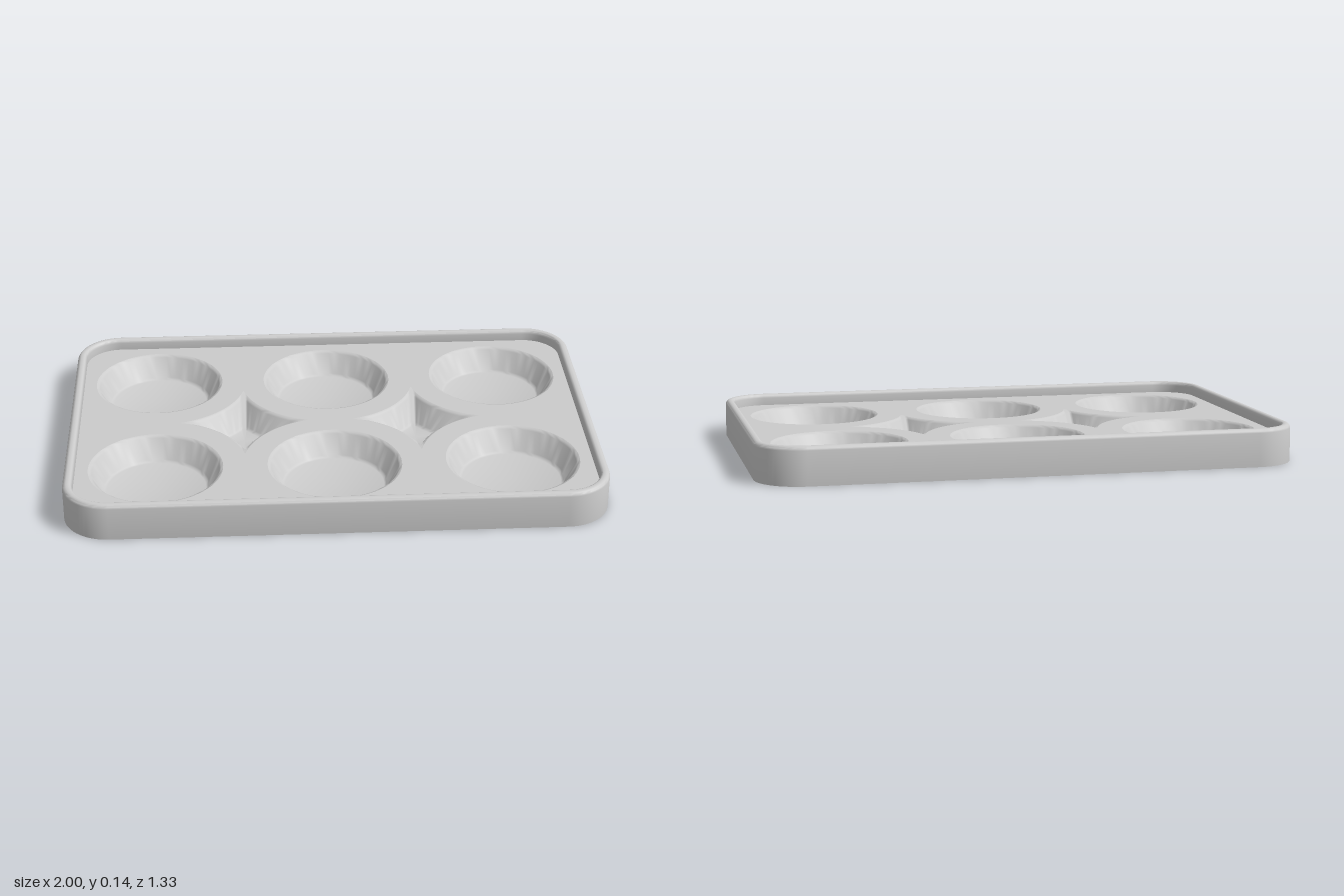
import * as THREE from 'three';
import { toCreasedNormals } from 'three/addons/utils/BufferGeometryUtils.js';

const HALF_X = 1, HALF_Z = 0.667, CORNER = 0.17;
const PLATE_Y = 0.097, DEPTH = 0.09;
const PITCH = 0.667, C = PITCH / 2;
const CUP_R = 0.251, STAR_R = 0.344;
// Side of every pocket, rounded at lip and floor: [run, fraction of depth]
const SIDE = [[0, 0], [0.008, 0.03], [0.014, 0.1], [0.052, 0.9], [0.058, 0.97], [0.066, 1]];
const material = new THREE.MeshStandardMaterial({ color: 0xcccccc, side: THREE.DoubleSide });

// Closed ring of a rounded rectangle, inset from the outer outline
function rectRing(inset) {
  const r = CORNER - inset, n = 16, pts = [];
  for (let q = 0; q < 4; q++) {
    const sx = q === 0 || q === 3 ? 1 : -1, sz = q < 2 ? 1 : -1;
    for (let i = 0; i <= n; i++) {
      const a = (q + i / n) * Math.PI / 2;
      pts.push([sx * (HALF_X - CORNER) + r * Math.cos(a), sz * (HALF_Z - CORNER) + r * Math.sin(a)]);
    }
  }
  return pts;
}

// Four-pointed star whose sides are arcs concentric with the four cups around it
function starRing(radius) {
  const tip = C - Math.sqrt(radius * radius - C * C), n = 16, pts = [];
  const half = Math.atan2(-C, tip - C) + Math.PI * 0.75;
  for (let q = 0; q < 4; q++) {
    const c = Math.round(Math.cos(q * Math.PI / 2)), s = Math.round(Math.sin(q * Math.PI / 2));
    for (let i = 0; i < n; i++) {
      const a = -Math.PI * 0.75 + half * (1 - 2 * i / n);
      const x = C + radius * Math.cos(a), z = C + radius * Math.sin(a);
      pts.push([x * c - z * s, x * s + z * c]);
    }
  }
  return pts;
}

// Skin a stack of rings, each given as { pts, y }
function loft(rings, creaseAngle) {
  const n = rings[0].pts.length, pos = [], idx = [];
  rings.forEach(({ pts, y }, k) => {
    pts.forEach(([x, z], i) => {
      pos.push(x, y, z);
      if (k === rings.length - 1) return;
      const a = k * n + i, b = k * n + (i + 1) % n;
      idx.push(a, a + n, b, b, a + n, b + n);
    });
  });
  const g = new THREE.BufferGeometry();
  g.setAttribute('position', new THREE.Float32BufferAttribute(pos, 3));
  g.setIndex(idx);
  return toCreasedNormals(g, creaseAngle);
}

const toPath = (pts, cx, cz, Type) =>
  new Type(pts.map(([x, z]) => new THREE.Vector2(x + cx, -(z + cz))));

function addMesh(group, name, geometry, x = 0, y = 0, z = 0) {
  const mesh = new THREE.Mesh(geometry, material);
  mesh.name = name;
  mesh.position.set(x, y, z);
  group.add(mesh);
}

export function createModel() {
  const group = new THREE.Group();
  group.name = 'sixCupTray';
  const cups = [], stars = [[-C, 0], [C, 0]];
  for (const x of [-PITCH, 0, PITCH]) for (const z of [-C, C]) cups.push([x, z]);

  // Outer wall with a rounded lip that steps down to the plate
  const wall = [[0, 0], [0, 0.126], [0.002, 0.132], [0.007, 0.138], [0.014, 0.141],
    [0.024, 0.141], [0.029, 0.139], [0.033, 0.134], [0.035, 0.126], [0.035, PLATE_Y]];
  addMesh(group, 'outerWall', loft(wall.map(([inset, y]) => ({ pts: rectRing(inset), y })), 0.7));

  // Recessed plate with openings for the cups and stars
  const shape = toPath(rectRing(0.035), 0, 0, THREE.Shape);
  const circle = Array.from({ length: 64 }, (_, i) => {
    const a = i / 64 * Math.PI * 2;
    return [CUP_R * Math.sin(a), CUP_R * Math.cos(a)];
  });
  const starTop = starRing(STAR_R);
  for (const [x, z] of cups) shape.holes.push(toPath(circle, x, z, THREE.Path));
  for (const [x, z] of stars) shape.holes.push(toPath(starTop, x, z, THREE.Path));
  addMesh(group, 'plate', new THREE.ShapeGeometry(shape).rotateX(-Math.PI / 2), 0, PLATE_Y, 0);

  // Tapered round cups
  const profile = SIDE.map(([run, f]) => new THREE.Vector2(CUP_R - run, -f * DEPTH));
  profile.push(new THREE.Vector2(0, -DEPTH));
  const cup = toCreasedNormals(new THREE.LatheGeometry(profile, 64), 0.8);
  for (const [x, z] of cups) addMesh(group, 'cup', cup, x, PLATE_Y, z);

  // Star-shaped pockets between the cups, closed by a flat floor
  const rings = SIDE.map(([run, f]) => ({ pts: starRing(STAR_R + run), y: -f * DEPTH }));
  rings.push({ pts: starTop.map(() => [0, 0]), y: -DEPTH });
  const pocket = loft(rings, Math.PI);
  for (const [x, z] of stars) addMesh(group, 'starPocket', pocket, x, PLATE_Y, z);

  return group;
}
